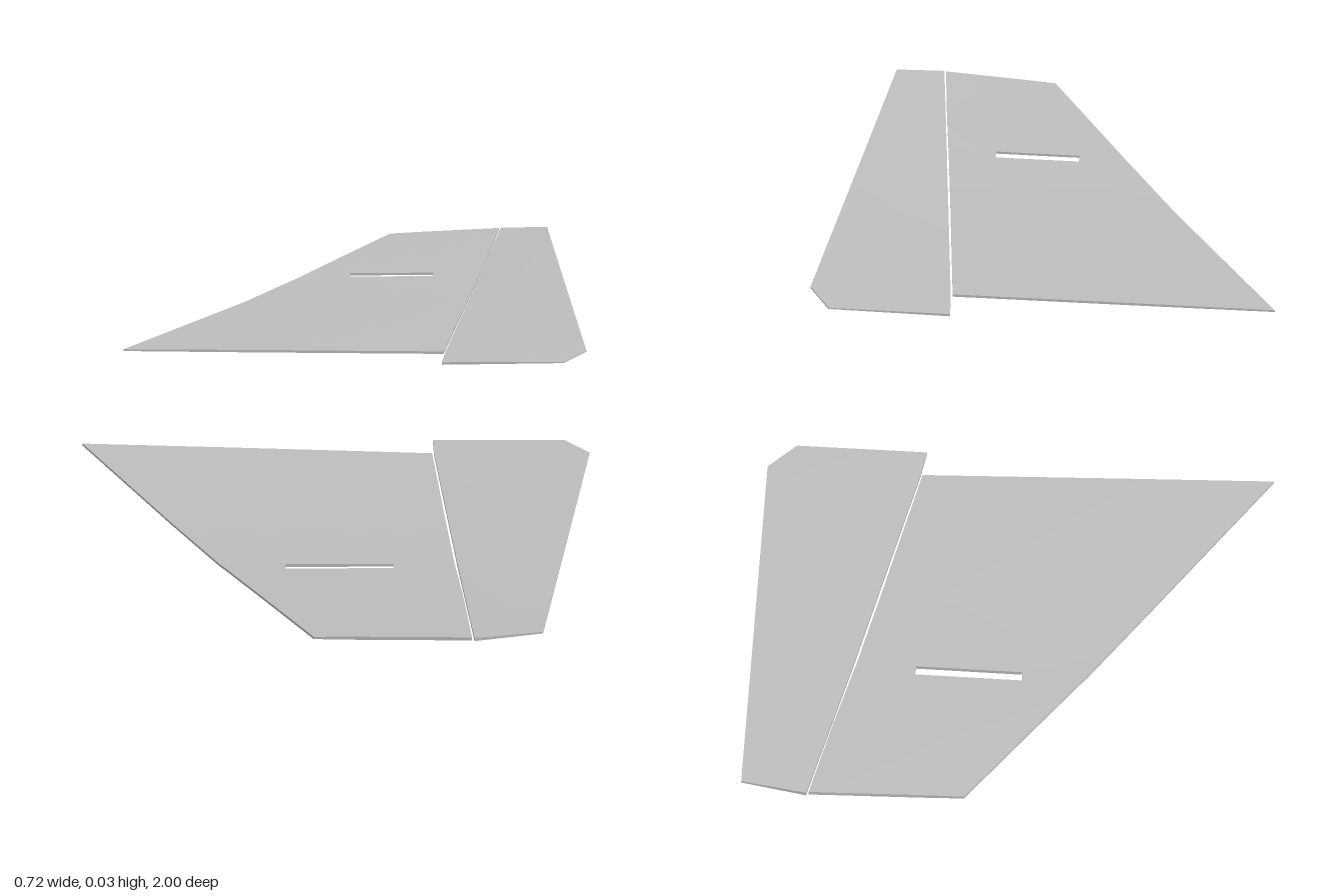
import * as THREE from 'three';
import { toCreasedNormals } from 'three/addons/utils/BufferGeometryUtils.js';

// Thin solid plate over a grid of [x, y, z] points (rows run outboard, columns run aft).
// Cells for which isHole(i, j) is true are left open with walls around them.
function plate(rows, half, flip, isHole = () => false) {
  const out = [];
  const ni = rows.length - 1, nj = rows[0].length - 1;
  const solid = (i, j) => i >= 0 && j >= 0 && i < ni && j < nj && !isHole(i, j);
  const at = ([i, j], s) => {
    const [x, y, z] = rows[i][j];
    return [x, y + s * half(j, nj), z];
  };
  const quad = (a, b, c, d) => {
    const tris = flip ? [a, c, b, a, d, c] : [a, b, c, a, c, d];
    tris.forEach((p) => out.push(...p));
  };
  for (let i = 0; i < ni; i++) for (let j = 0; j < nj; j++) {
    if (!solid(i, j)) continue;
    const c = [[i, j], [i + 1, j], [i + 1, j + 1], [i, j + 1]];
    quad(...c.map((k) => at(k, 1)));
    quad(...c.map((k) => at(k, -1)).reverse());
    const next = [[i, j - 1], [i + 1, j], [i, j + 1], [i - 1, j]];
    next.forEach((n, k) => {
      const p = c[k], q = c[(k + 1) % 4];
      if (!solid(...n)) quad(at(p, 1), at(p, -1), at(q, -1), at(q, 1));
    });
  }
  const geo = new THREE.BufferGeometry();
  geo.setAttribute('position', new THREE.Float32BufferAttribute(out, 3));
  return toCreasedNormals(geo, 0.5);
}

// Wing stations: leading [x, y, z], trailing [x, y, z], chord fractions of the slot
const wingStations = [
  [[-0.362, 0.009, 0.236], [0.138, 0.009, 0.252], 0.4, 0.75],
  [[-0.2, 0.002, 0.55], [0.167, 0.009, 0.55], 0.32, 0.74],
  [[-0.12, 0.003, 0.71], [0.183, 0.01, 0.71], 0.281, 0.743],
  [[-0.11, 0.004, 0.729], [0.185, 0.011, 0.729], 0.254, 0.729],
  [[-0.048, 0.008, 0.85], [0.198, 0.016, 0.85], 0.27, 0.73],
  [[0.02, 0.012, 0.983], [0.212, 0.021, 0.998], 0.27, 0.73],
];

// Flap stations: hinge edge and trailing edge
const flapStations = [
  [[0.137, 0.009, 0.192], [0.325, 0.014, 0.192]],
  [[0.141, 0.009, 0.252], [0.36, 0.0155, 0.252]],
  [[0.187, 0.0125, 0.72], [0.32, 0.0225, 0.72]],
  [[0.215, 0.021, 1.0], [0.297, 0.0275, 0.989]],
];

export function createModel() {
  const group = new THREE.Group();
  const grey = new THREE.MeshStandardMaterial({ color: 0xbebebe });
  grey.name = 'light grey';

  for (const side of [1, -1]) {
    const place = ([x, y, z]) => [x, y, side > 0 ? z : -(0.01 + 0.99 * z)];
    const lerp = (a, b, t) => a.map((v, k) => v + (b[k] - v) * t);
    const wing = new THREE.Group();
    wing.name = side > 0 ? 'frontWing' : 'backWing';

    // Main panel with the narrow slot
    const panelRows = wingStations.map(([a, b, s, e]) =>
      [0, s, e, 1].map((t) => place(lerp(a, b, t))));
    const panel = new THREE.Mesh(
      plate(panelRows, (j) => (j === 0 ? 0.0015 : 0.002), side < 0, (i, j) => i === 2 && j === 1), grey);
    panel.name = 'wingPanel';

    // Trailing flap, thinning toward its rear edge
    const flapRows = flapStations.map(([a, b]) =>
      [0, 0.5, 1].map((t) => place(lerp(a, b, t))));
    const flap = new THREE.Mesh(plate(flapRows, (j, n) => 0.002 - 0.001 * (j / n), side < 0), grey);
    flap.name = 'flap';

    wing.add(panel, flap);
    group.add(wing);
  }
  return group;
}
